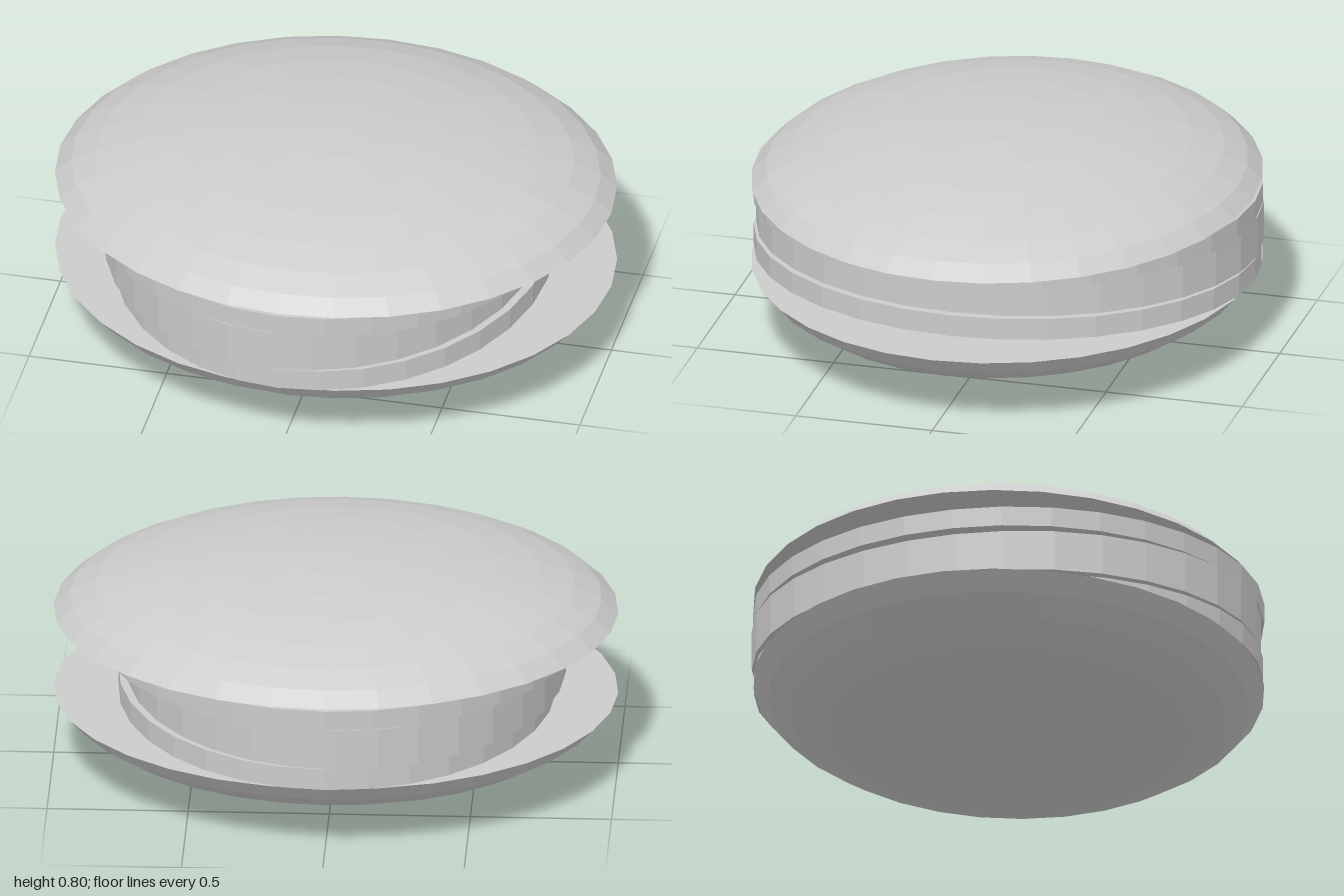
import * as THREE from 'three';

const SIDES = 32;
const material = new THREE.MeshStandardMaterial({ color: 0xcccccc, flatShading: true });

function addMesh(parent, name, geometry) {
  const mesh = new THREE.Mesh(geometry, material);
  mesh.name = name;
  parent.add(mesh);
  return mesh;
}

// Shallow faceted cap closed by a flat disc; dir is 1 for upward, -1 for downward
function makeBun(name, rimY, height, dir) {
  const bun = new THREE.Group();
  bun.name = name;
  const cut = Math.PI * 7 / 16; // the sphere is cut just short of its equator
  const rimR = Math.sin(cut), rimH = Math.cos(cut);
  const dome = new THREE.SphereGeometry(1, SIDES, 7, 0, Math.PI * 2, 0, cut);
  dome.translate(0, -rimH, 0);
  dome.scale(1 / rimR, height / (1 - rimH), 0.9 / rimR);
  const face = new THREE.CircleGeometry(1, SIDES);
  face.rotateX(Math.PI / 2);
  face.scale(1, 1, 0.9);
  for (const g of [dome, face]) {
    if (dir < 0) g.rotateX(Math.PI);
    g.translate(0, rimY, 0);
  }
  addMesh(bun, name + 'Dome', dome);
  addMesh(bun, name + 'CutFace', face);
  return bun;
}

export function createModel() {
  const group = new THREE.Group();
  group.name = 'sandwich';

  group.add(makeBun('bottomBun', 0.275, 0.27, -1));
  group.add(makeBun('topBun', 0.582, 0.218, 1));

  // Fillings: name, bottom y, top y, centre x, half width in x
  const fillings = [
    ['lowerFilling', 0.275, 0.354, -0.005, 0.775],
    ['middleFilling', 0.354, 0.504, -0.037, 0.778],
    ['upperFilling', 0.504, 0.577, -0.005, 0.86],
  ];
  for (const [name, y0, y1, x, halfWidth] of fillings) {
    const disc = new THREE.CylinderGeometry(1, 1, y1 - y0, SIDES);
    disc.scale(halfWidth, 1, 0.908);
    disc.translate(x, (y0 + y1) / 2, 0);
    addMesh(group, name, disc);
  }

  // Rest the lowest point on the ground
  group.position.y = -0.005;
  return group;
}
